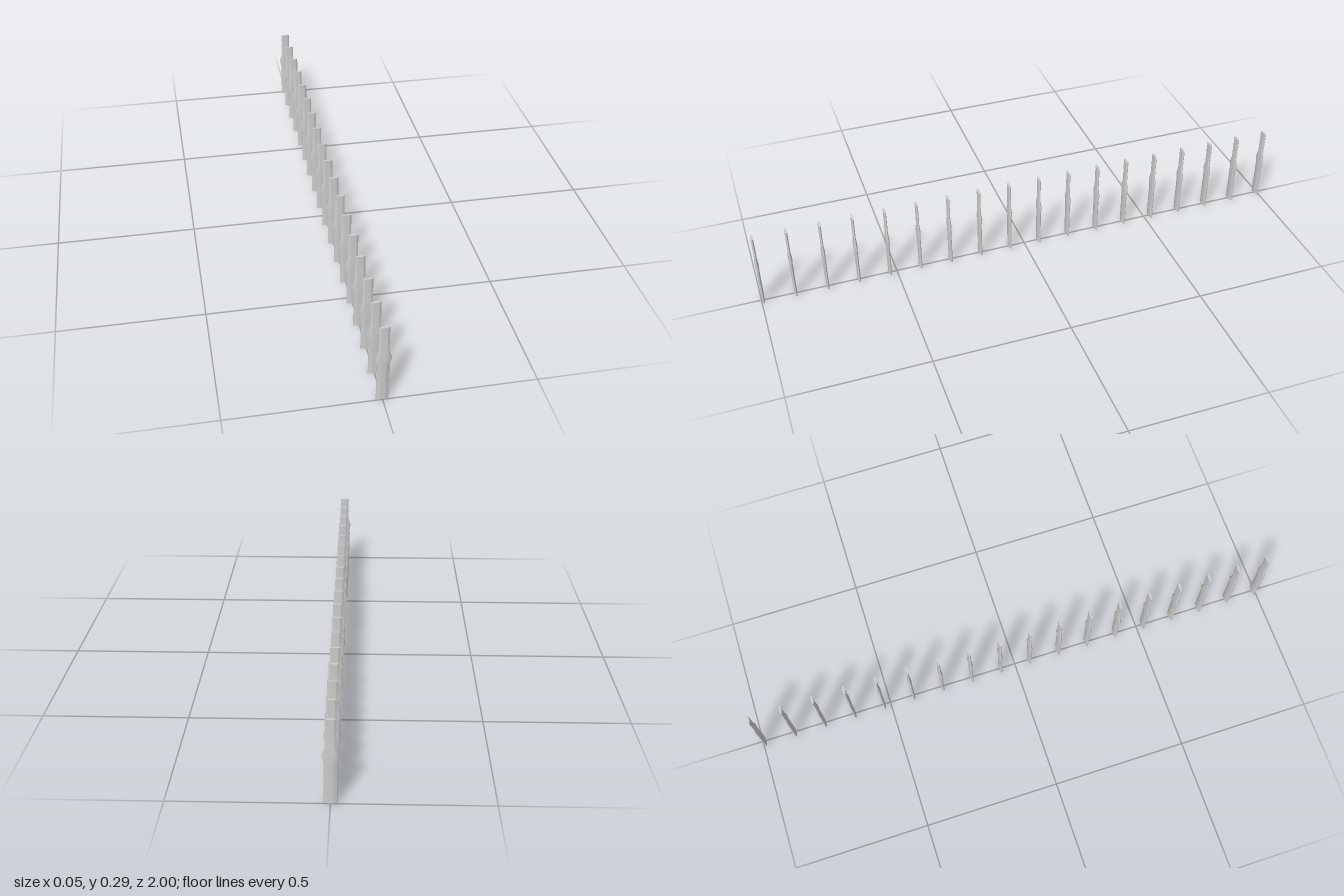
import * as THREE from 'three';
import { toCreasedNormals } from 'three/addons/utils/BufferGeometryUtils.js';

const COUNT = 18;
const FLATNESS = 0.27; // depth of a post relative to its width

// Turned profile (radius, height), closed at both ends
const PROFILE = [
  [0, 0], [0.0205, 0], [0.0205, 0.136], [0.026, 0.165],
  [0.017, 0.192], [0.017, 0.286], [0, 0.286],
].map(([r, y]) => new THREE.Vector2(r, y));

export function createModel() {
  const group = new THREE.Group();
  group.name = 'postRow';
  const material = new THREE.MeshStandardMaterial({ color: 0xcccccc });

  // Flattened post with a swollen collar
  const lathe = new THREE.LatheGeometry(PROFILE, 24);
  lathe.scale(1, 1, FLATNESS);
  const geometry = toCreasedNormals(lathe, 1.2);

  // Evenly spaced row from back to front
  const reach = 1 - 0.026 * FLATNESS;
  for (let i = 0; i < COUNT; i++) {
    const post = new THREE.Mesh(geometry, material);
    post.name = `post${i + 1}`;
    post.position.z = -reach + (2 * reach * i) / (COUNT - 1);
    group.add(post);
  }
  return group;
}
